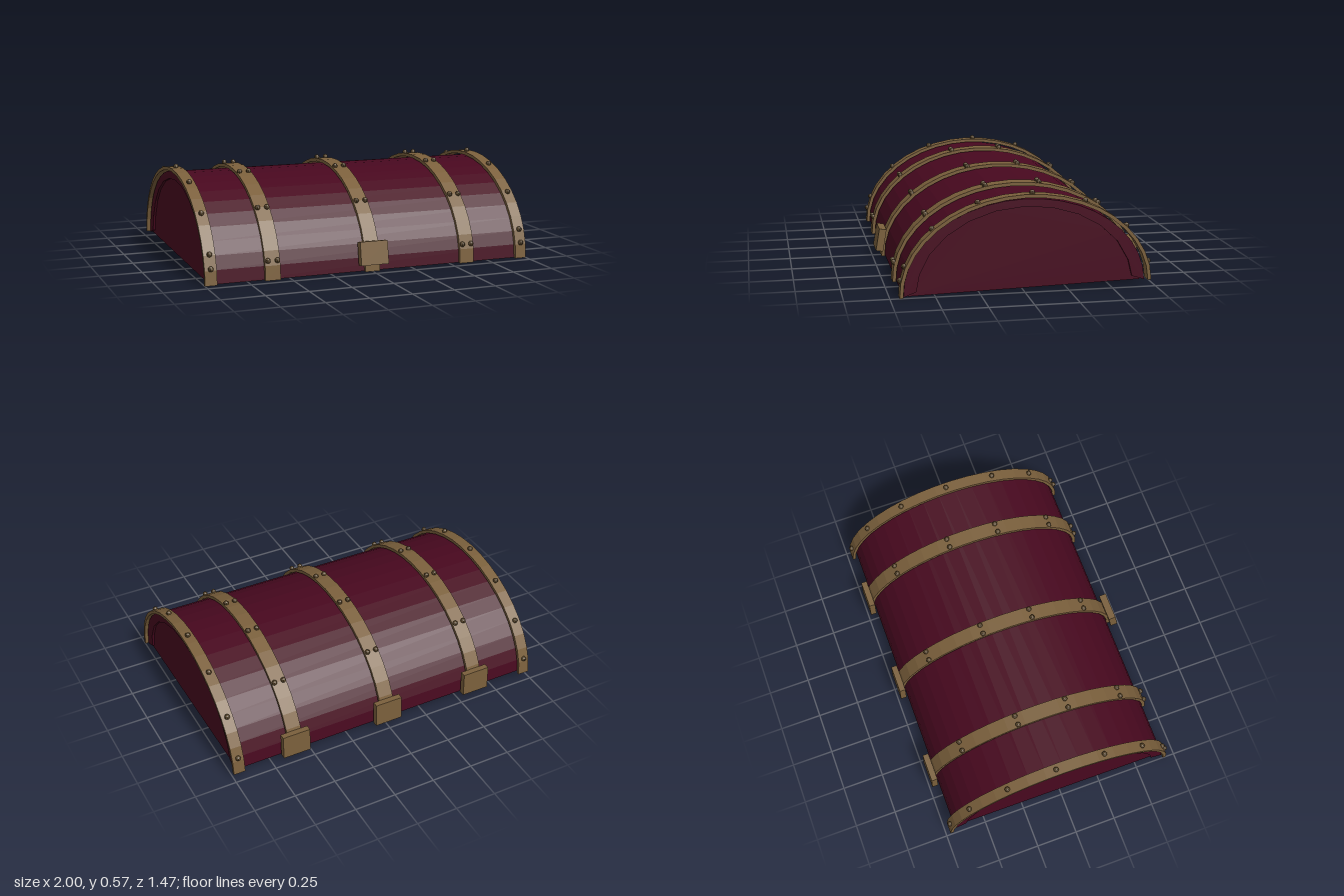
import * as THREE from 'three';

const shellMat = new THREE.MeshStandardMaterial({ color: 0x48081f, flatShading: true, name: 'wine leather' });
const strapMat = new THREE.MeshStandardMaterial({ color: 0x7b603c, flatShading: true, name: 'aged brass' });
const rivetMat = new THREE.MeshStandardMaterial({ color: 0x5a472b, flatShading: true, name: 'dark brass' });

const TILT = 0.026;            // the lid rests slightly lower at the front
const STRAP = { a: 0.711, b: 0.534, z: -0.014 };

// Half-ellipse outline as points, from the front edge over to the back edge
function arc([a, b], n, z, floor = 0) {
  return Array.from({ length: n + 1 }, (_, i) => {
    const t = Math.PI * i / n;
    return new THREE.Vector2(z + a * Math.cos(t), Math.max(floor, b * Math.sin(t)));
  });
}

// Extrudes an outline along x, centred on x
function extrudeX(name, mat, x, width, pts) {
  const geo = new THREE.ExtrudeGeometry(new THREE.Shape(pts), { depth: width, bevelEnabled: false });
  geo.translate(0, 0, -width / 2).rotateY(-Math.PI / 2);
  const mesh = new THREE.Mesh(geo, mat);
  mesh.name = name;
  mesh.position.x = x;
  return mesh;
}

function plate(name, x, y, z, size, tilt) {
  const mesh = new THREE.Mesh(new THREE.BoxGeometry(...size), strapMat);
  mesh.name = name;
  mesh.position.set(x, y, z);
  mesh.rotation.x = tilt;
  return mesh;
}

const rivetGeo = new THREE.SphereGeometry(0.016, 10, 6);
function rivet(x, degrees) {
  const t = THREE.MathUtils.degToRad(degrees);
  const mesh = new THREE.Mesh(rivetGeo, rivetMat);
  mesh.name = 'rivet';
  mesh.position.set(x, (STRAP.b + 0.005) * Math.sin(t), STRAP.z + (STRAP.a + 0.003) * Math.cos(t));
  return mesh;
}

export function createModel() {
  const model = new THREE.Group();
  model.name = 'chestLid';
  const lid = new THREE.Group();
  lid.name = 'tiltedLid';
  lid.rotation.x = TILT;
  lid.position.y = 0.0195;
  model.add(lid);

  // Thick arched shell whose lower lips slope inward, with recessed end panels
  const z = -0.008;
  lid.add(extrudeX('shell', shellMat, 0, 1.96,
    [...arc([0.681, 0.506], 20, z), ...arc([0.61, 0.463], 12, z, 0.025).reverse()]));
  for (const s of [-1, 1])
    lid.add(extrudeX('endPanel', shellMat, s * 0.956, 0.02, arc([0.655, 0.485], 20, z)));

  // Straps with their rivets
  for (const x of [-0.965, -0.605, 0, 0.605, 0.965]) {
    const isEnd = Math.abs(x) > 0.9;
    const strap = new THREE.Group();
    strap.name = isEnd ? 'endStrap' : 'middleStrap';
    strap.add(extrudeX('strapBand', strapMat, x, isEnd ? 0.07 : 0.09, [
      ...arc([STRAP.a, STRAP.b], 20, STRAP.z),
      ...arc([STRAP.a - 0.02, STRAP.b - 0.02], 20, STRAP.z).reverse()]));
    if (isEnd) {
      for (const d of [10, 18.5, 43.5, 68.5, 93.5, 118.7, 144, 169]) strap.add(rivet(x, d));
    } else {
      for (const d of [12, 44.6, 77, 102.5, 134.8])
        for (const s of [-1, 1]) strap.add(rivet(x + s * 0.028, d));
    }
    lid.add(strap);
  }

  // Front clasp and three back hinge plates
  model.add(plate('clasp', 0, 0.112, 0.701, [0.17, 0.137, 0.044], -0.17));
  for (const x of [-0.605, 0, 0.605])
    model.add(plate('hingePlate', x, 0.114, -0.714, [0.17, 0.15, 0.036], TILT));

  return model;
}
